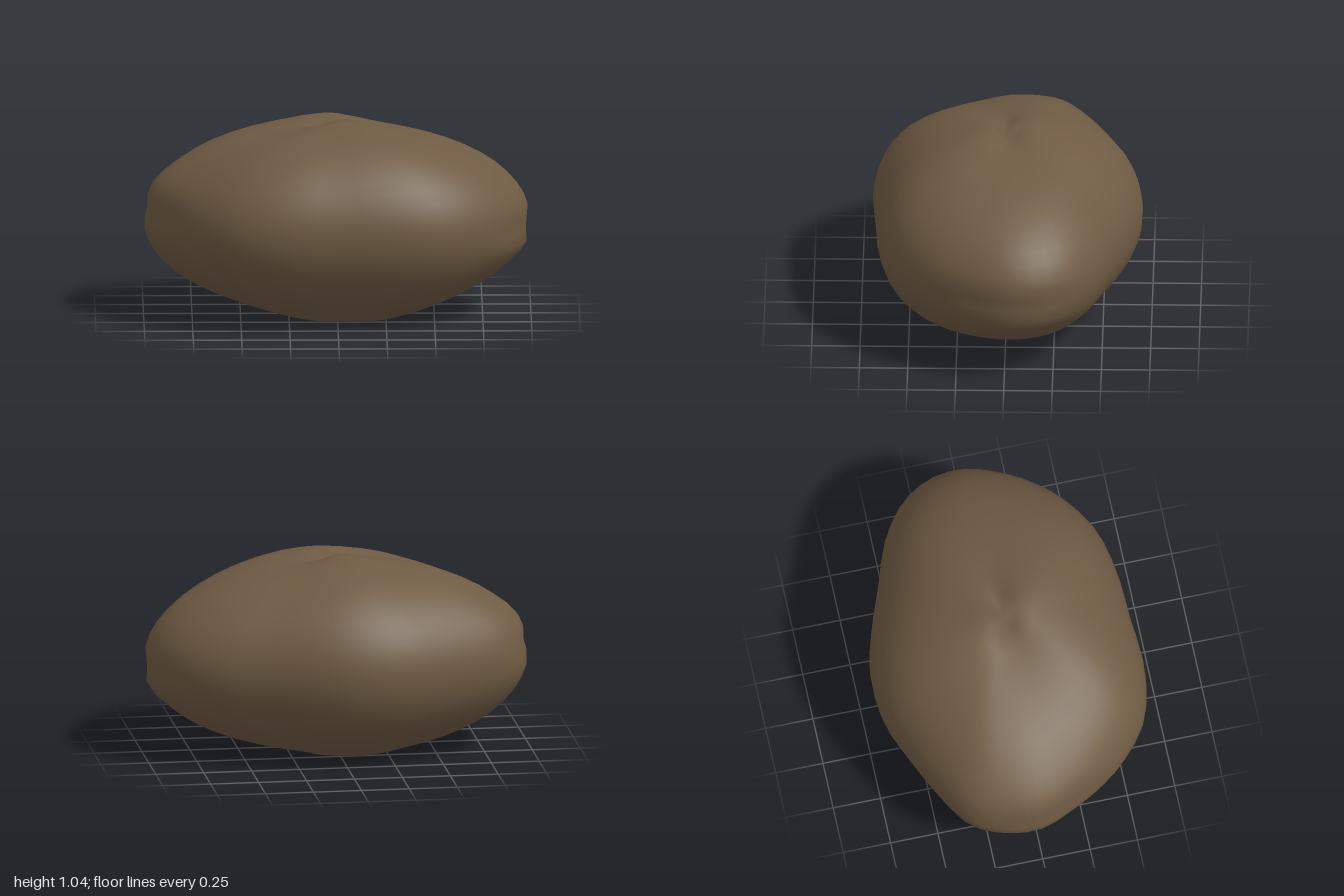
import * as THREE from 'three';
import { mergeVertices } from 'three/addons/utils/BufferGeometryUtils.js';

// Relative radius around the waist, every 15 degrees from +x towards +z
const WAIST = [0.99, 0.966, 0.97, 0.99, 1.008, 0.985, 0.971, 1.027, 1.055, 1.01, 0.973, 0.965,
  1.0, 1.02, 1.04, 0.995, 0.98, 1.008, 0.998, 0.943, 0.92, 0.965, 1.0, 1.005];

// Smooth periodic lookup in the waist profile
function waistRadius(t) {
  const n = WAIST.length;
  const s = (((t / (2 * Math.PI)) % 1) + 1) % 1 * n;
  const i = Math.floor(s), k = s - i;
  const [a, b, c, d] = [-1, 0, 1, 2].map((o) => WAIST[(i + o + n) % n]);
  return b + 0.5 * k * (c - a + k * (2 * a - 5 * b + 4 * c - d + k * (3 * (b - c) + d - a)));
}

// Radius factor for a direction on the unit sphere
function lump(d) {
  const flat = Math.hypot(d.x, d.z);
  if (flat < 1e-4) return 0.865; // dimple at each pole
  const t = Math.atan2(d.z, d.x);
  const cap = 0.965 + 0.042 * Math.cos(2 * (t - 1.28)); // groove running across the caps
  let f = THREE.MathUtils.lerp(cap, waistRadius(t), flat * flat);
  // shallow dents on the two ends, one a little above and one a little below the middle
  const end = Math.max(0, Math.abs(d.x) - 0.75) / 0.25;
  const dentY = d.x > 0 ? -0.06 : 0.08;
  f -= 0.022 * end * Math.exp(-(((d.y - dentY) / 0.09) ** 2));
  // fuller shoulders: low on the +x end, high on the -x end
  const shoulderY = d.x > 0 ? -0.27 : 0.37;
  f += 0.02 * end * Math.exp(-(((d.y - shoulderY) / 0.13) ** 2));
  return f;
}

export function createModel() {
  const group = new THREE.Group();
  group.name = 'rock';

  const brown = new THREE.MeshStandardMaterial({ color: 0x6f5b43 });
  brown.name = 'earth brown';

  let geometry = new THREE.SphereGeometry(1, 56, 28);
  geometry.deleteAttribute('uv');
  geometry.deleteAttribute('normal');
  geometry = mergeVertices(geometry, 1e-4);

  // Squash the ball, make it lumpy and flatten the underside
  const pos = geometry.attributes.position;
  const d = new THREE.Vector3();
  for (let i = 0; i < pos.count; i++) {
    d.fromBufferAttribute(pos, i).normalize();
    const f = lump(d);
    pos.setXYZ(i, d.x * f, Math.max(0, 0.4975 + d.y * f * 0.5375), d.z * f * 0.7);
  }
  geometry.computeVertexNormals();

  const stone = new THREE.Mesh(geometry, brown);
  stone.name = 'stone';
  group.add(stone);
  return group;
}
